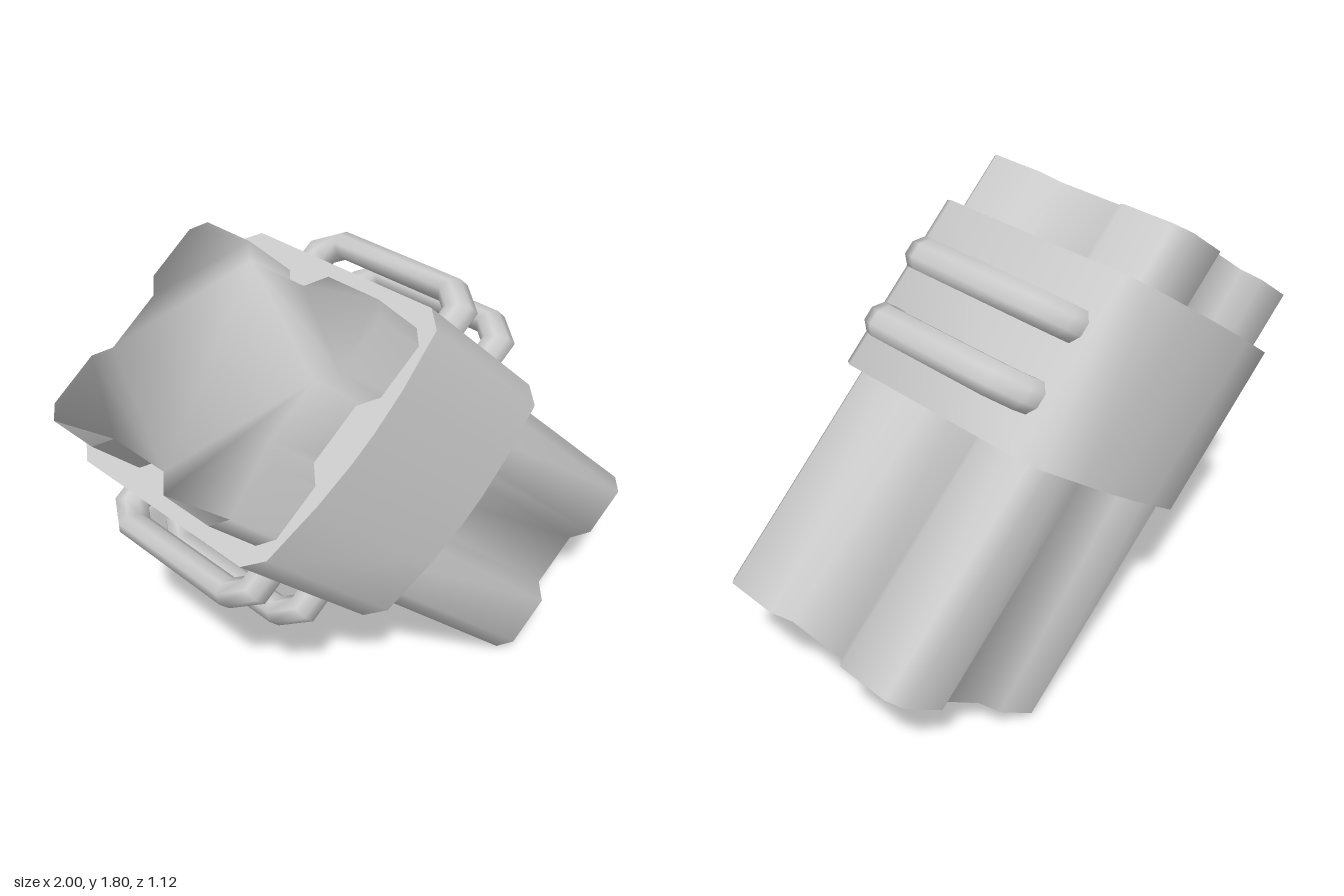
import * as THREE from 'three';
import { mergeVertices, toCreasedNormals } from 'three/addons/utils/BufferGeometryUtils.js';

// Leaning frame: local x = width, y = depth, z = along the bundle
const WIDTH = new THREE.Vector3(0.81, 0.58, 0.04);
const DEPTH = new THREE.Vector3(-0.05, 0.04, 1);
const ALONG = new THREE.Vector3(0.708, -0.706, 0.075);
const BODY_HALF = 0.905;
const BAND_HALF = 0.345;
const BAND_SHIFT = -0.335;

function lean(geo) {
  const m = new THREE.Matrix4().makeBasis(WIDTH, DEPTH, ALONG).setPosition(-0.005, 0.898, 0.02);
  return geo.applyMatrix4(m);
}

// Repeat one corner's outline (from the +x side round to the +y side) in all four quadrants
function fourWay(quarter) {
  const flip = (sx, sy) => quarter.map(([x, y]) => new THREE.Vector2(x * sx, y * sy));
  return new THREE.Shape([
    ...flip(1, 1), ...flip(-1, 1).reverse(), ...flip(-1, -1), ...flip(1, -1).reverse(),
  ]);
}

function prism(shape, half, shift = 0) {
  return new THREE.ExtrudeGeometry(shape, { depth: half * 2, bevelEnabled: false })
    .translate(0, 0, shift - half);
}

// Four-lobed body, with normals shared between the sides and the ends
function bodyGeometry() {
  const quarter = [
    [0.36, 0.13], [0.42, 0.19], [0.42, 0.41], [0.37, 0.46], [0.17, 0.46], [0.11, 0.40],
  ];
  let geo = prism(fourWay(quarter), BODY_HALF);
  geo.deleteAttribute('normal');
  geo.deleteAttribute('uv');
  geo = mergeVertices(lean(geo));
  geo.computeVertexNormals();
  return geo;
}

// Band with gently bowed front and back
function bandGeometry() {
  const quarter = [[0.5, 0.41], [0.44, 0.48], [0.22, 0.512], [0.06, 0.523]];
  const geo = prism(fourWay(quarter), BAND_HALF, BAND_SHIFT);
  return toCreasedNormals(lean(geo), 1.1);
}

// Grip: an oval section swept along a bracket path with mitred bends
function handleGeometry(along, side) {
  const path = [
    [0.47, -0.335], [0.565, -0.335], [0.62, -0.26],
    [0.62, 0.26], [0.565, 0.335], [0.47, 0.335],
  ].map(([x, y]) => new THREE.Vector2(x, y));
  const sides = 8;
  const positions = [];
  const indices = [];
  const normal = (a, b) => {
    const t = b.clone().sub(a).normalize();
    return new THREE.Vector2(-t.y, t.x);
  };
  path.forEach((p, i) => {
    const before = normal(path[Math.max(i - 1, 0)], path[Math.max(i, 1)]);
    const last = path.length - 1;
    const after = normal(path[Math.min(i, last - 1)], path[Math.min(i + 1, last)]);
    const n = before.clone().add(after).normalize();
    n.divideScalar(n.dot(before));
    for (let j = 0; j < sides; j++) {
      const angle = ((j + 0.5) / sides) * Math.PI * 2;
      const r = 0.049 * Math.cos(angle);
      positions.push(p.x + n.x * r, p.y + n.y * r, 0.066 * Math.sin(angle));
      if (i < last) {
        const a = i * sides + j;
        const b = i * sides + ((j + 1) % sides);
        indices.push(a, b, a + sides, b, b + sides, a + sides);
      }
    }
  });
  const geo = new THREE.BufferGeometry();
  geo.setAttribute('position', new THREE.Float32BufferAttribute(positions, 3));
  geo.setIndex(indices);
  if (side < 0) geo.rotateZ(Math.PI);
  lean(geo.translate(0, 0, along));
  geo.computeVertexNormals();
  return geo;
}

export function createModel() {
  const group = new THREE.Group();
  group.name = 'banded bundle';
  const grey = new THREE.MeshStandardMaterial({ color: 0xcccccc, side: THREE.DoubleSide });
  const add = (name, geo) => {
    const mesh = new THREE.Mesh(geo, grey);
    mesh.name = name;
    group.add(mesh);
  };

  add('body', bodyGeometry());
  add('band', bandGeometry());

  // Two grips on each side of the band
  for (const side of [1, -1]) {
    for (const row of [-1, 1]) {
      const name = `${side > 0 ? 'left' : 'right'}${row < 0 ? 'Upper' : 'Lower'}Handle`;
      add(name, handleGeometry(BAND_SHIFT + 0.01 + row * 0.135, side));
    }
  }
  return group;
}
